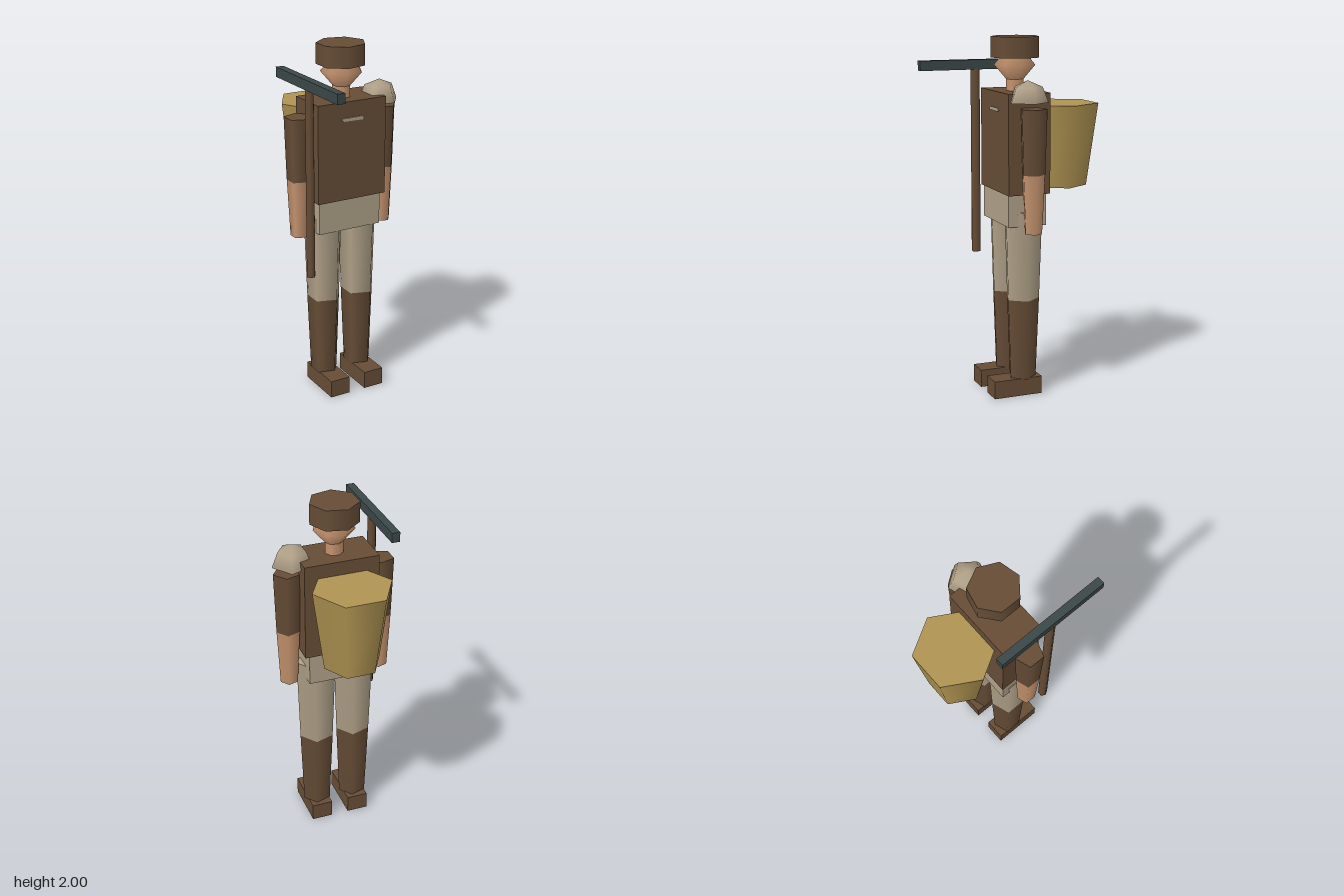
import * as THREE from 'three';

const mat = (name, color) => {
  const m = new THREE.MeshStandardMaterial({ color });
  m.name = name;
  return m;
};

export function createModel() {
  const model = new THREE.Group();
  model.name = 'villager';

  const brown = mat('brown leather', 0x664d36);
  const cream = mat('cream cloth', 0xb0a188);
  const skin = mat('skin', 0xc6946f);
  const straw = mat('basket straw', 0xb09452);
  const iron = mat('dark iron', 0x3c4747);

  const add = (name, geometry, material, x = 0, y = 0, z = 0, parent = model) => {
    const mesh = new THREE.Mesh(geometry, material);
    mesh.name = name;
    mesh.position.set(x, y, z);
    parent.add(mesh);
    return mesh;
  };
  // box given by its limits on each axis
  const box = (name, material, [x0, x1], [y0, y1], [z0, z1], parent) =>
    add(name, new THREE.BoxGeometry(x1 - x0, y1 - y0, z1 - z0), material,
      (x0 + x1) / 2, (y0 + y1) / 2, (z0 + z1) / 2, parent);
  // upright tapered prism with one corner pointing to +x
  const prism = (name, material, sides, rTop, rBottom, yTop, yBottom, x, z, parent) => {
    const g = new THREE.CylinderGeometry(rTop, rBottom, yTop - yBottom, sides);
    g.rotateY(Math.PI / 2);
    return add(name, g, material, x, (yTop + yBottom) / 2, z, parent);
  };

  // body
  box('tunic', brown, [-0.217, 0.202], [1.155, 1.705], [-0.127, 0.116]);
  box('hips', cream, [-0.207, 0.175], [0.976, 1.16], [-0.114, 0.106]);

  // pale clasp on the chest
  const clasp = new THREE.Shape([
    [-0.076, 1.614], [-0.065, 1.6], [0.054, 1.598], [0.06, 1.608], [0.05, 1.617], [-0.066, 1.617],
  ].map(([x, y]) => new THREE.Vector2(x, y)));
  add('chestClasp', new THREE.ExtrudeGeometry(clasp, { depth: 0.007, bevelEnabled: false }),
    cream, 0, 0, 0.115);

  // head, neck and hat
  prism('neck', skin, 7, 0.05, 0.05, 1.78, 1.7, -0.006, -0.004);
  const head = new THREE.SphereGeometry(0.116, 7, 2);
  head.rotateY(Math.PI);
  head.scale(1, 1.18, 1);
  add('head', head, skin, -0.005, 1.847, -0.003);
  prism('hat', brown, 7, 0.136, 0.136, 2, 1.885, -0.006, -0.005);

  // arms and legs
  for (const [side, s] of [['left', 1], ['right', -1]]) {
    const arm = new THREE.Group();
    arm.name = side + 'Arm';
    const ax = s * 0.265 - 0.008;
    prism('sleeve', brown, 5, 0.077, 0.066, 1.628, 1.275, ax, -0.002, arm);
    prism('forearm', skin, 5, 0.066, 0.05, 1.275, 0.952, ax, -0.002, arm);

    const leg = new THREE.Group();
    leg.name = side + 'Leg';
    const lx = s * 0.11 - 0.01;
    prism('trouser', cream, 5, 0.113, 0.097, 1.055, 0.555, lx, -0.002, leg);
    prism('boot', brown, 5, 0.097, 0.079, 0.555, 0.095, lx, -0.002, leg);
    box('foot', brown, [lx - 0.06, lx + 0.06], [0, 0.1], [-0.1, 0.183], leg);
    model.add(arm, leg);
  }

  // domed pad over the left shoulder, closed underneath
  const pad = new THREE.Group();
  pad.name = 'shoulderPad';
  pad.position.set(0.221, 1.66, 0.015);
  const dome = new THREE.SphereGeometry(0.113, 5, 2, 0, Math.PI * 2, 0, Math.PI / 2);
  dome.rotateY(Math.PI);
  dome.scale(1, 1.04, 1);
  add('padDome', dome, cream, 0, 0, 0, pad);
  const base = new THREE.CircleGeometry(0.113, 5);
  base.rotateX(Math.PI / 2);
  add('padBase', base, cream, 0, 0, 0, pad);
  model.add(pad);

  // basket on the back
  prism('basket', straw, 6, 0.221, 0.157, 1.628, 1.165, -0.01, -0.27);

  // long-headed tool held at the right side
  const tool = new THREE.Group();
  tool.name = 'tool';
  prism('toolHandle', brown, 6, 0.026, 0.026, 1.81, 0.755, -0.275, 0.13, tool);
  box('toolHead', iron, [-0.297, -0.252], [1.805, 1.86], [-0.203, 0.46], tool);
  model.add(tool);

  return model;
}
